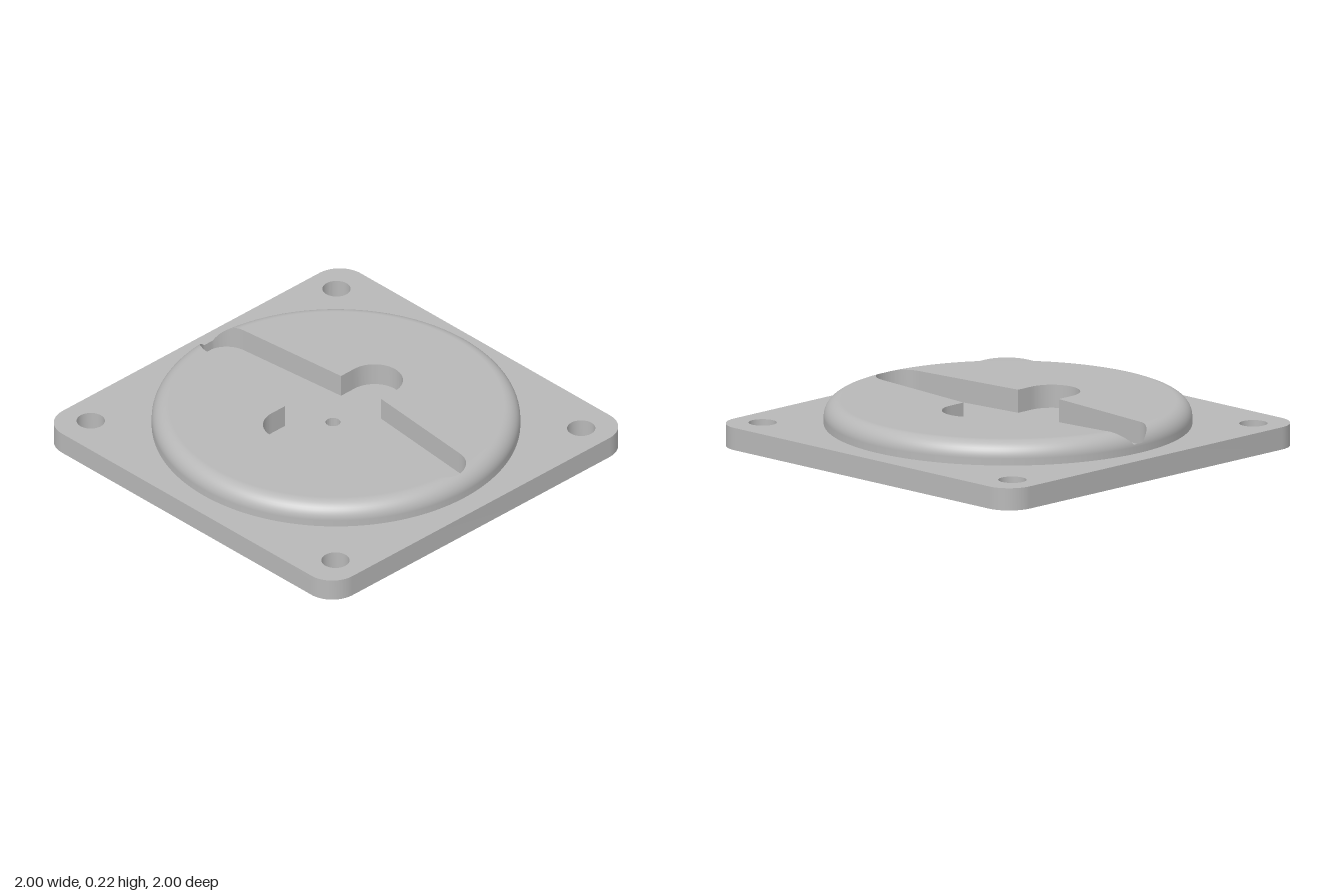
import * as THREE from 'three';
import { toCreasedNormals } from 'three/addons/utils/BufferGeometryUtils.js';

const PLATE_TOP = 0.11, TOP = 0.224;       // heights of plate and raised disc
const R = 0.886, FILLET = 0.08;            // disc radius and rounded rim
const CX = -0.025, CZ = -0.004;            // centre of slot and pin hole

// Square plate with rounded corners, four screw holes and a pin hole
function plateGeometry() {
  const s = new THREE.Shape(), k = 0.14;
  [[1, 1], [-1, 1], [-1, -1], [1, -1]].forEach(([x, y], i) => {
    s.absarc(x * (1 - k), y * (1 - k), k, i * Math.PI / 2, (i + 1) * Math.PI / 2, false);
  });
  s.closePath();
  const hole = (x, z, r) => {
    const p = new THREE.Path();
    p.absarc(x, -z, r, 0, Math.PI * 2, true);
    s.holes.push(p);
  };
  for (const x of [-0.844, 0.844]) for (const z of [-0.823, 0.823]) hole(x, z, 0.068);
  hole(CX, CZ, 0.036);
  const g = new THREE.ExtrudeGeometry(s, { depth: PLATE_TOP, bevelEnabled: false, curveSegments: 24 });
  g.rotateX(-Math.PI / 2);
  return toCreasedNormals(g, 0.6);
}

// Cross-shaped slot outline: tapered long arms and short round arms
function slotOutline() {
  const half = [], a = Math.PI / 2 - 0.098;
  const arc = (x, z, r, t0, t1) => {
    for (let i = 0; i <= 24; i++) {
      const t = t0 + (t1 - t0) * i / 24;
      half.push([x + r * Math.cos(t), z + r * Math.sin(t)]);
    }
  };
  arc(0.735, 0, 0.128, -a, a);
  half.push([0.137, 0.187]);
  arc(0, 0.278, 0.137, 0, Math.PI);
  half.push([-0.137, 0.187]);
  const pts = [...half, ...half.map(([x, z]) => [-x, -z])];
  const out = [];
  pts.forEach(([x, z], i) => {
    const [x2, z2] = pts[(i + 1) % pts.length];
    const n = Math.max(1, Math.ceil(Math.hypot(x2 - x, z2 - z) / 0.012));
    for (let j = 0; j < n; j++) out.push([CX + x + (x2 - x) * j / n, CZ + z + (z2 - z) * j / n]);
  });
  return out;
}

// Closed loft: each column is a list of { p, n } running from inside to outside
function loft(columns) {
  const pos = [], nor = [], idx = [], rows = columns[0].length, n = columns.length;
  columns.forEach((col, i) => col.forEach((v, j) => {
    pos.push(...v.p);
    nor.push(...v.n);
    if (j === rows - 1) return;
    const a = i * rows + j, c = ((i + 1) % n) * rows + j;
    idx.push(a, c, a + 1, c, c + 1, a + 1);
  }));
  const g = new THREE.BufferGeometry();
  g.setAttribute('position', new THREE.Float32BufferAttribute(pos, 3));
  g.setAttribute('normal', new THREE.Float32BufferAttribute(nor, 3));
  g.setIndex(idx);
  return g;
}

export function createModel() {
  const group = new THREE.Group();
  const grey = new THREE.MeshStandardMaterial({ color: 0xb8b8b8 });
  grey.name = 'grey';
  const add = (name, geometry) => {
    const m = new THREE.Mesh(geometry, grey);
    m.name = name;
    group.add(m);
  };

  add('basePlate', plateGeometry());

  const skin = [], wall = [], flat = R - FILLET;
  for (const [x, z] of slotOutline()) {
    const t = Math.atan2(z, x), c = Math.cos(t), s = Math.sin(t);
    const inner = Math.min(Math.hypot(x, z), R - 0.001);
    const at = (r, y, e) => ({ p: [r * c, y, r * s], n: [Math.sin(e) * c, Math.cos(e), Math.sin(e) * s] });
    const rim = e => at(flat + FILLET * Math.sin(e), TOP - FILLET + FILLET * Math.cos(e), e);
    // flat top, rounded rim and upright side of the disc
    const e0 = Math.asin(Math.max(0, inner - flat) / FILLET);
    const col = [inner < flat ? at(inner, TOP, 0) : rim(e0)];
    for (let i = 0; i <= 10; i++) col.push(rim(e0 + (Math.PI / 2 - e0) * i / 10));
    col.push(at(R, PLATE_TOP, Math.PI / 2));
    skin.push(col);
    // slot wall, from the plate up to the disc surface
    wall.push([at(inner, PLATE_TOP, 0), col[0]]);
  }
  add('raisedDisc', loft(skin));
  add('slotWall', toCreasedNormals(loft(wall), 0.6));
  return group;
}
